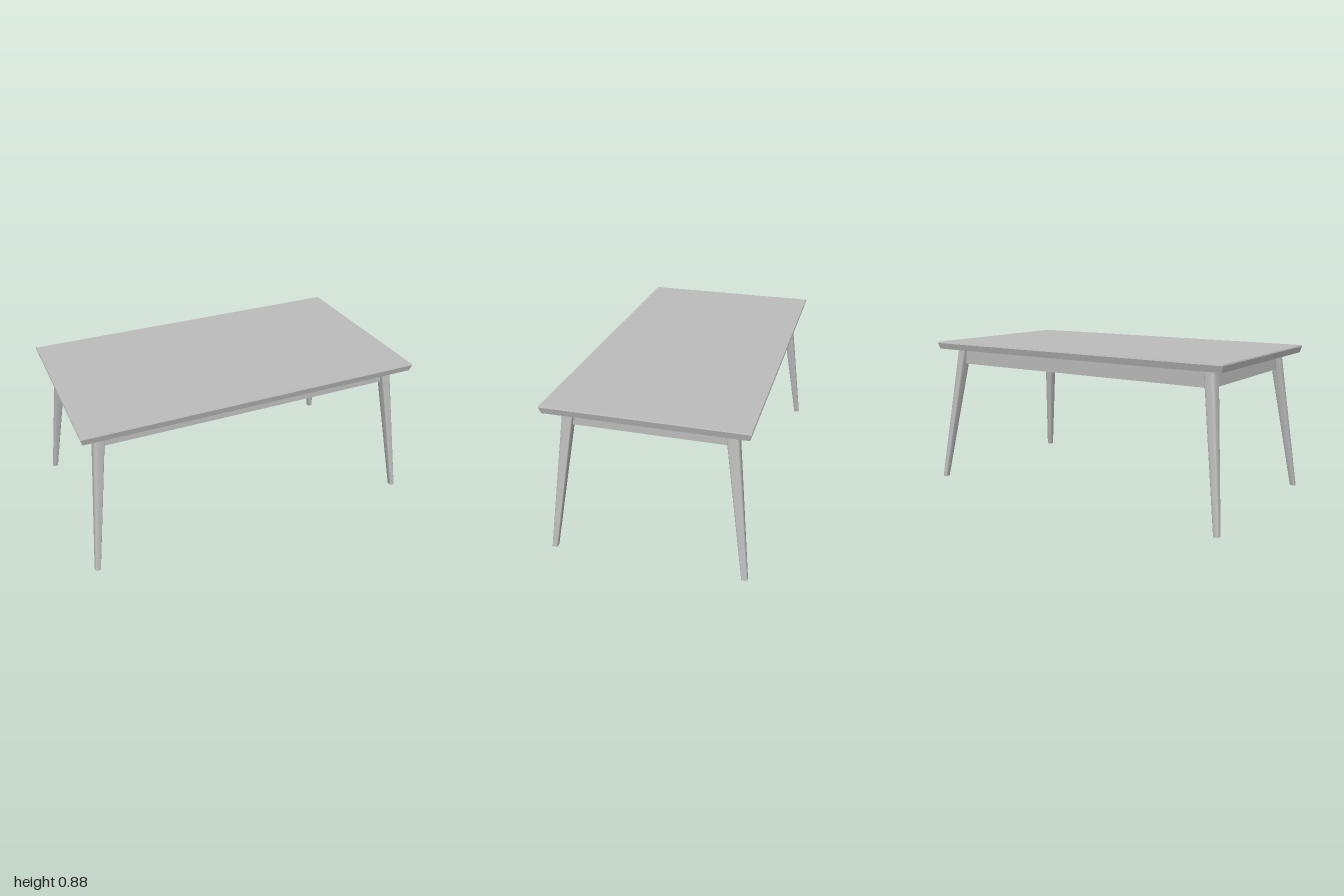
import * as THREE from 'three';
import { toCreasedNormals } from 'three/addons/utils/BufferGeometryUtils.js';

const lerp = THREE.MathUtils.lerp;

// Move every vertex of a geometry by a rule, then refresh its normals
function reshape(geometry, rule) {
  const pos = geometry.attributes.position;
  const v = new THREE.Vector3();
  for (let i = 0; i < pos.count; i++) {
    v.fromBufferAttribute(pos, i);
    rule(v);
    pos.setXYZ(i, v.x, v.y, v.z);
  }
  return toCreasedNormals(geometry, 0.6);
}

// Unit square with softened corners, rounder towards the outside (sx, sy)
function legSection(sx, sy) {
  const s = new THREE.Shape();
  const corners = [[1, 1], [-1, 1], [-1, -1], [1, -1]];
  corners.forEach(([x, y], i) => {
    const r = x === sx && y === sy ? 0.32 : 0.15;
    const px = x * 0.5, py = y * 0.5;
    const alongX = i % 2 === 1; // the corner is left along y on odd corners
    const a = [px - x * r, py], b = [px, py - y * r];
    const [from, to] = alongX ? [a, b] : [b, a];
    if (i === 0) s.moveTo(...from); else s.lineTo(...from);
    s.quadraticCurveTo(px, py, ...to);
  });
  s.closePath();
  return s;
}

export function createModel() {
  const group = new THREE.Group();
  const grey = new THREE.MeshStandardMaterial({ color: 0xbcbcbc });
  grey.name = 'grey';

  const add = (name, geometry) => {
    const mesh = new THREE.Mesh(geometry, grey);
    mesh.name = name;
    group.add(mesh);
    return mesh;
  };

  // Table top: widest just below its upper face, undercut towards the bottom
  const rows = { '-1': [0.84, 0.01], 0: [0.876, 0], 1: [0.884, 0.003] };
  add('tableTop', reshape(new THREE.BoxGeometry(1.99, 2, 1.1, 1, 2, 1), (v) => {
    const [y, inset] = rows[Math.round(v.y)];
    v.set(v.x - Math.sign(v.x) * inset, y, v.z - Math.sign(v.z) * inset);
  }));

  // Aprons: a rectangular frame under the top
  const thick = 0.04, height = 0.098, midY = 0.792;
  for (const s of [1, -1]) {
    add(s > 0 ? 'frontApron' : 'backApron', new THREE.BoxGeometry(1.75, height, thick))
      .position.set(0, midY, s * 0.425);
    add(s > 0 ? 'leftApron' : 'rightApron', new THREE.BoxGeometry(thick, height, 0.85))
      .position.set(s * 0.87, midY, 0);
  }

  // Legs: splayed outwards and tapering to the floor
  for (const sx of [1, -1]) for (const sz of [1, -1]) {
    const geometry = new THREE.ExtrudeGeometry(legSection(sx, -sz), {
      depth: 1, bevelEnabled: false, curveSegments: 5,
    });
    geometry.rotateX(-Math.PI / 2);
    const name = (sz > 0 ? 'front' : 'back') + (sx > 0 ? 'Left' : 'Right') + 'Leg';
    add(name, reshape(geometry, (v) => {
      const t = v.y;
      v.set(
        sx * lerp(0.985, 0.875, t) + v.x * lerp(0.03, 0.06, t),
        t * 0.842,
        sz * lerp(0.541, 0.433, t) + v.z * lerp(0.032, 0.065, t),
      );
    }));
  }

  return group;
}
